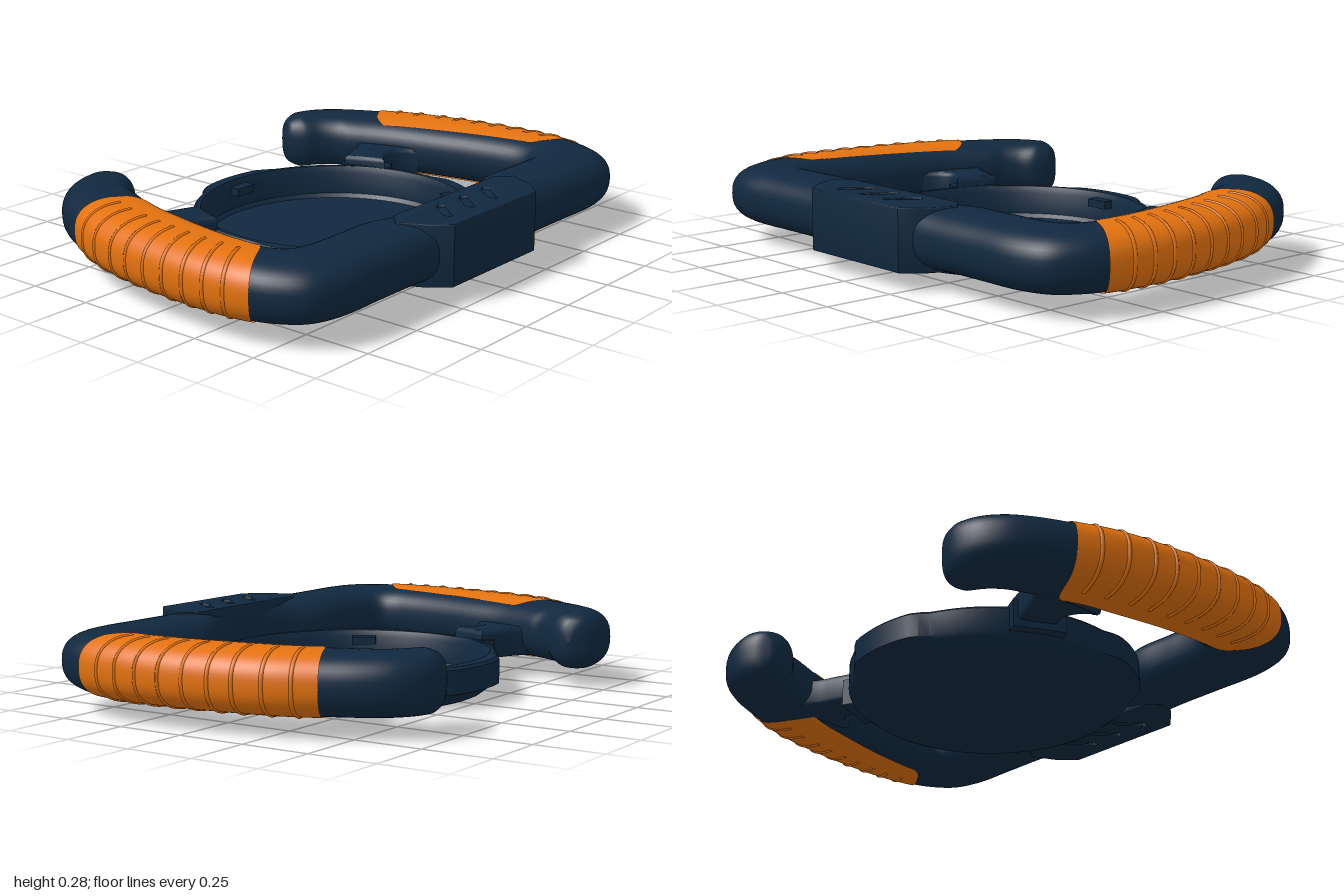
import * as THREE from 'three';
import { toCreasedNormals } from 'three/addons/utils/BufferGeometryUtils.js';

const navy = new THREE.MeshStandardMaterial({ color: 0x10283f });
navy.name = 'navy';
const orange = new THREE.MeshStandardMaterial({ color: 0xe3720f, side: THREE.DoubleSide });
orange.name = 'orange';

const MID_Y = 0.17;
const H = 0.106;

// Handle stations: outer x, outer z, inner x, inner z, half height
const STATIONS = [
  [0, 0.67, 0, 0.5, H], [0.2, 0.67, 0.2, 0.46, H], [0.36, 0.67, 0.34, 0.385, H],
  [0.55, 0.67, 0.5, 0.38, H], [0.75, 0.668, 0.61, 0.378, H], [0.87, 0.625, 0.67, 0.37, H],
  [0.94, 0.53, 0.7, 0.345, H], [0.975, 0.42, 0.715, 0.3, H], [0.991, 0.28, 0.712, 0.2, H],
  [0.988, 0.1, 0.695, 0.07, H], [0.96, -0.13, 0.665, -0.08, H], [0.92, -0.3, 0.635, -0.22, H],
  [0.86, -0.44, 0.6, -0.32, H], [0.8, -0.56, 0.567, -0.4, H], [0.735, -0.645, 0.553, -0.45, H],
  [0.66, -0.695, 0.52, -0.5, H], [0.58, -0.71, 0.475, -0.54, H], [0.505, -0.692, 0.453, -0.585, 0.083],
  [0.465, -0.655, 0.449, -0.605, 0.048], [0.449, -0.63, 0.449, -0.629, 0],
];
const LAST = STATIONS.length - 1;
const outer = new THREE.CatmullRomCurve3(STATIONS.map(s => new THREE.Vector3(s[0], s[4], s[1])));
const inner = new THREE.CatmullRomCurve3(STATIONS.map(s => new THREE.Vector3(s[2], 0, s[3])));

// Point on the handle surface at station u and section angle a, pushed out by grow
function handlePoint(u, a, grow = 0) {
  const o = outer.getPoint(u / LAST), i = inner.getPoint(u / LAST);
  const h = Math.max(0, Math.min(H, o.y)) + grow;
  o.y = 0;
  const half = o.clone().sub(i).multiplyScalar(0.5);
  const centre = o.add(i).multiplyScalar(0.5);
  half.setLength(half.length() + grow);
  const round = v => Math.sign(v) * Math.abs(v) ** 0.8;
  centre.addScaledVector(half, round(Math.cos(a)));
  centre.y = MID_Y + h * round(Math.sin(a));
  return centre;
}

// Surface patch of the handle; limit(t) gives the half angle covered
function handlePatch(u0, u1, rows, cols, limit, grow, closed) {
  const pos = [], index = [];
  const stride = closed ? cols : cols + 1;
  for (let r = 0; r <= rows; r++) {
    for (let c = 0; c < stride; c++) {
      const a = limit(r / rows) * (2 * c / cols - 1);
      pos.push(...handlePoint(u0 + (u1 - u0) * r / rows, a, grow).toArray());
    }
  }
  for (let r = 0; r < rows; r++) {
    for (let c = 0; c < cols; c++) {
      const n = closed ? (c + 1) % cols : c + 1;
      const a = r * stride + c, b = a + stride, d = r * stride + n, e = d + stride;
      index.push(a, b, e, a, e, d);
    }
  }
  const g = new THREE.BufferGeometry();
  g.setAttribute('position', new THREE.Float32BufferAttribute(pos, 3));
  g.setIndex(index);
  g.computeVertexNormals();
  return g;
}

// Mirror a geometry across x, keeping faces outward
function mirrored(geometry) {
  const g = geometry.clone();
  if (!g.index) g.setIndex([...Array(g.attributes.position.count).keys()]);
  const ix = g.index.array;
  for (let k = 0; k < ix.length; k += 3) [ix[k + 1], ix[k + 2]] = [ix[k + 2], ix[k + 1]];
  for (const name of ['position', 'normal']) {
    const at = g.attributes[name];
    for (let k = 0; k < at.count; k++) at.setX(k, -at.getX(k));
  }
  return g;
}

// Flat outline in x,z extruded between two heights
function slab(shape, bottom, top, bevel) {
  const g = new THREE.ExtrudeGeometry(shape, {
    depth: top - bottom - 2 * bevel, bevelSize: bevel, bevelThickness: bevel,
    bevelOffset: -bevel, bevelSegments: 3, curveSegments: 10,
  });
  g.rotateX(Math.PI / 2).translate(0, top - bevel, 0);
  return toCreasedNormals(g, 0.6);
}

export function createModel() {
  const model = new THREE.Group();
  model.name = 'steeringWheel';
  const add = (name, geometry, material) => {
    const mesh = new THREE.Mesh(geometry, material);
    mesh.name = name;
    model.add(mesh);
  };
  const addPair = (name, geometry, material) => {
    add(name + 'Left', geometry, material);
    add(name + 'Right', mirrored(geometry), material);
  };

  // Handle bar with rounded tips
  addPair('handle', handlePatch(0, LAST, 114, 40, () => Math.PI, 0, true), navy);

  // Grip sleeves with rounded corners
  const gripLimit = t => {
    const end = Math.min(1, Math.min(t, 1 - t) / 0.09);
    return 1.5 + 0.3 * t * end + 0.5 * Math.sqrt(1 - (1 - end) ** 2);
  };
  addPair('grip', handlePatch(6.7, 12, 80, 40, gripLimit, 0.004, false), orange);

  // Finger ribs around the grips
  for (const u of [7.43, 8, 8.5, 9, 9.4, 9.8, 10.23, 10.82, 11.43]) {
    const pts = [];
    for (let k = 0; k <= 24; k++) pts.push(handlePoint(u, 1.55 * (k / 12 - 1), 0.001));
    addPair('gripRib', new THREE.TubeGeometry(new THREE.CatmullRomCurve3(pts), 40, 0.008, 6), orange);
  }

  // Shallow round dish with three outer lobes
  const profile = [[0, 0], [0.44, 0], [0.46, 0.008], [0.505, 0.042], [0.512, 0.055], [0.512, 0.14],
    [0.502, 0.15], [0.487, 0.15], [0.475, 0.125], [0.472, 0.045], [0.46, 0.03], [0, 0.03]];
  const dish = new THREE.LatheGeometry(profile.map(p => new THREE.Vector2(...p)), 96);
  const p = dish.attributes.position;
  for (let k = 0; k < p.count; k++) {
    const x = p.getX(k), z = p.getZ(k);
    if (Math.hypot(x, z) < 0.495 || p.getY(k) < 0.05) continue;
    const s = 1 + 0.05 * THREE.MathUtils.smoothstep(-Math.cos(3 * Math.atan2(x, z)), 0.3, 0.75);
    p.setX(k, x * s);
    p.setZ(k, z * s);
  }
  add('dish', toCreasedNormals(dish, 0.6), navy);

  // Small clips inside the dish wall
  for (const phi of [Math.PI, Math.PI / 3, -Math.PI / 3]) {
    const clip = new THREE.BoxGeometry(0.09, 0.03, 0.045).translate(0, 0.115, 0.458);
    add('dishClip', clip.rotateY(phi), navy);
  }

  // Flared spokes and their collars
  const spoke = new THREE.Shape();
  spoke.moveTo(0.65, -0.43);
  spoke.quadraticCurveTo(0.58, -0.35, 0.52, -0.335);
  spoke.lineTo(0.41, -0.29);
  spoke.lineTo(0.47, -0.14);
  spoke.lineTo(0.53, -0.185);
  spoke.quadraticCurveTo(0.6, -0.22, 0.66, -0.12);
  addPair('spoke', slab(spoke, 0.08, 0.19, 0.02), navy);
  const collar = new THREE.BoxGeometry(0.06, 0.1, 0.19);
  addPair('spokeCollar', collar.rotateY(0.45).translate(0.465, 0.105, -0.225), navy);

  // Front badge plate with three slanted slots
  const plate = new THREE.Shape([[-0.345, 0.54], [-0.29, 0.49], [0.29, 0.49], [0.345, 0.54],
    [0.3, 0.64], [0.24, 0.705], [-0.24, 0.705], [-0.3, 0.64]].map(q => new THREE.Vector2(...q)));
  for (const x of [-0.14, -0.01, 0.12]) {
    const slot = new THREE.Path([[-0.04, 0.645], [-0.042, 0.615], [0.02, 0.54], [0.042, 0.535],
      [0.044, 0.56], [-0.018, 0.64]].map(q => new THREE.Vector2(q[0] + x, q[1])));
    plate.holes.push(slot);
  }
  add('frontPlate', slab(plate, 0.061, 0.281, 0.004), navy);

  return model;
}
